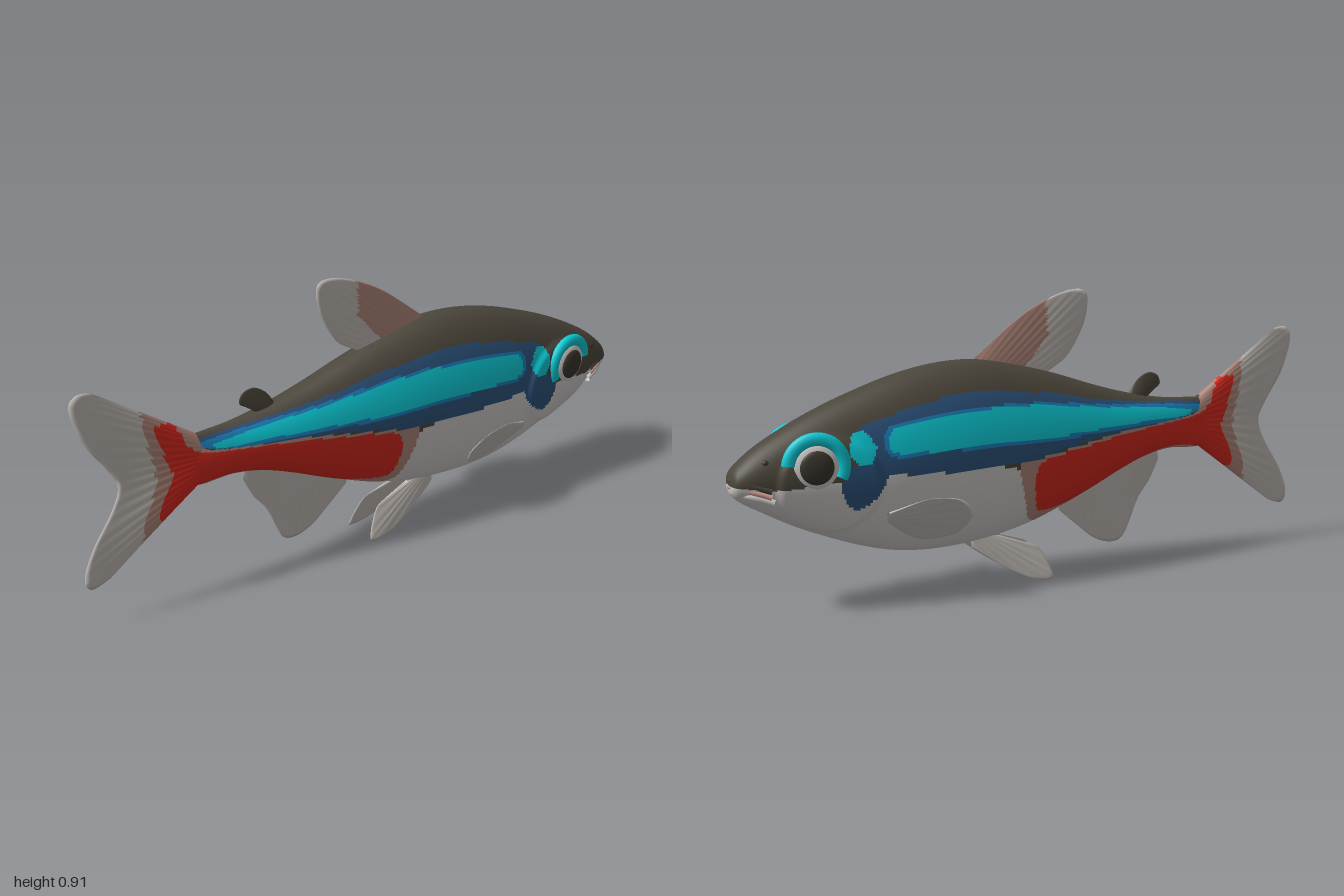
import * as THREE from 'three';

const palette = {
  olive: 0x4c473c, navy: 0x2d537c, blue: 0x1c80bd, cyan: 0x0accd8, red: 0xd6281e,
  pink: 0xb0877b, belly: 0xd2cecb, fin: 0xc2bcb6, lip: 0xd8a098, pupil: 0x3a352d,
};
const names = Object.keys(palette);
const mats = names.map((name) => {
  const m = new THREE.MeshStandardMaterial({ color: palette[name], side: THREE.DoubleSide });
  m.name = name;
  return m;
});
const mat = (name) => mats[names.indexOf(name)];

// Closed smooth outline of a colour patch
const region = (pts) => {
  const v = pts.map(([x, y]) => new THREE.Vector2(x, y));
  return new THREE.SplineCurve([...v, v[0]]).getPoints(80);
};
const inside = (poly, x, y) => {
  let hit = false;
  for (let i = 0, j = poly.length - 1; i < poly.length; j = i++) {
    const a = poly[i], b = poly[j];
    if ((a.y > y) !== (b.y > y) && x < ((b.x - a.x) * (y - a.y)) / (b.y - a.y) + a.x) hit = !hit;
  }
  return hit;
};
const height = (table, x) => {
  let i = 1;
  while (i < table.length - 1 && table[i][0] < x) i++;
  const [x0, y0] = table[i - 1], [x1, y1] = table[i];
  return y0 + (y1 - y0) * THREE.MathUtils.clamp((x - x0) / (x1 - x0), 0, 1);
};

// Markings, side elevation
const redPatch = region([[-0.75, 0.595], [-0.69, 0.59], [-0.65, 0.51], [-0.58, 0.475], [-0.3, 0.45], [-0.1, 0.42],
  [0.03, 0.395], [0.055, 0.33], [0.035, 0.24], [-0.03, 0.23], [-0.2, 0.265], [-0.32, 0.32], [-0.46, 0.375],
  [-0.6, 0.37], [-0.69, 0.3], [-0.755, 0.295], [-0.74, 0.36], [-0.705, 0.43], [-0.73, 0.51]]);
const pinkPatch = region([[-0.79, 0.67], [-0.7, 0.62], [-0.62, 0.54], [-0.58, 0.482], [-0.3, 0.46], [-0.1, 0.43],
  [0.05, 0.405], [0.115, 0.39], [0.085, 0.27], [0.05, 0.2], [-0.04, 0.19], [-0.2, 0.235], [-0.3, 0.28],
  [-0.45, 0.34], [-0.6, 0.33], [-0.7, 0.27], [-0.8, 0.21], [-0.8, 0.29], [-0.755, 0.43], [-0.78, 0.56]]);
const cyanStripe = region([[-0.58, 0.497], [-0.4, 0.522], [-0.2, 0.541], [0, 0.567], [0.2, 0.575], [0.4, 0.56],
  [0.52, 0.54], [0.54, 0.5], [0.51, 0.465], [0.3, 0.467], [0, 0.467], [-0.2, 0.475], [-0.4, 0.48], [-0.54, 0.48]]);
const blueStripe = region([[-0.64, 0.505], [-0.58, 0.515], [-0.4, 0.532], [-0.2, 0.55], [0, 0.575], [0.2, 0.582],
  [0.4, 0.567], [0.53, 0.55], [0.555, 0.5], [0.52, 0.455], [0.3, 0.46], [0, 0.455], [-0.2, 0.465], [-0.5, 0.472]]);
const navyBand = region([[-0.64, 0.52], [-0.4, 0.54], [-0.2, 0.565], [0, 0.602], [0.22, 0.63], [0.4, 0.61],
  [0.55, 0.572], [0.64, 0.535], [0.62, 0.46], [0.56, 0.41], [0.3, 0.395], [0.1, 0.4], [0, 0.415], [-0.2, 0.45], [-0.5, 0.475]]);
const cheekCyan = region([[0.58, 0.49], [0.61, 0.535], [0.65, 0.53], [0.665, 0.48], [0.64, 0.445], [0.6, 0.45]]);
const cheekNavy = region([[0.545, 0.41], [0.58, 0.44], [0.65, 0.44], [0.69, 0.4], [0.68, 0.34], [0.64, 0.31], [0.58, 0.35]]);
const oliveEdge = [[-0.74, 0.45], [-0.4, 0.43], [-0.2, 0.42], [0, 0.395], [0.12, 0.38], [0.2, 0.4], [0.56, 0.41],
  [0.62, 0.44], [0.68, 0.4], [0.8, 0.39], [0.88, 0.385], [1, 0.4]];
const bodyPaint = (x, y) => {
  if (inside(cheekCyan, x, y)) return 'cyan';
  if (inside(cheekNavy, x, y)) return 'navy';
  if (inside(cyanStripe, x, y)) return 'cyan';
  if (inside(blueStripe, x, y)) return 'blue';
  if (inside(redPatch, x, y)) return 'red';
  if (inside(navyBand, x, y)) return 'navy';
  if (inside(pinkPatch, x, y)) return 'pink';
  return y > height(oliveEdge, x) ? 'olive' : 'belly';
};
const tailPaint = (x, y) => {
  if (inside(redPatch, x, y)) return 'red';
  return inside(pinkPatch, x, y) || x > -0.68 ? 'pink' : 'fin';
};
const dorsalPaint = (x, y) => (x > -0.04 && y + 1.14 * x > 0.726 ? 'pink' : 'fin');

// Smooth grid surface whose cells are grouped by colour
function gridMesh(name, nu, nv, point, paint, wrap = false) {
  const pos = [], cells = names.map(() => []), rows = wrap ? nv : nv + 1;
  for (let i = 0; i <= nu; i++) for (let j = 0; j < rows; j++) pos.push(...point(i / nu, j / nv));
  for (let i = 0; i < nu; i++) for (let j = 0; j < nv; j++) {
    const k = (j + 1) % rows;
    const a = i * rows + j, b = a + rows, c = (i + 1) * rows + k, d = i * rows + k;
    const mid = (o) => (pos[a * 3 + o] + pos[b * 3 + o] + pos[c * 3 + o] + pos[d * 3 + o]) / 4;
    cells[names.indexOf(paint(mid(0), mid(1)))].push(a, b, c, a, c, d);
  }
  const g = new THREE.BufferGeometry();
  g.setAttribute('position', new THREE.Float32BufferAttribute(pos, 3));
  g.setIndex(cells.flat());
  let start = 0;
  cells.forEach((list, m) => {
    if (list.length) g.addGroup(start, list.length, m);
    start += list.length;
  });
  g.computeVertexNormals();
  const mesh = new THREE.Mesh(g, mats);
  mesh.name = name;
  return mesh;
}

// Body stations: x, top, bottom, half width
const stations = [[-0.74, 0.49, 0.41, 0.003], [-0.66, 0.53, 0.375, 0.02], [-0.6, 0.535, 0.365, 0.03],
  [-0.5, 0.54, 0.37, 0.045], [-0.4, 0.555, 0.352, 0.062], [-0.3, 0.578, 0.315, 0.078], [-0.2, 0.607, 0.27, 0.092],
  [-0.1, 0.64, 0.228, 0.104], [0, 0.67, 0.19, 0.114], [0.1, 0.694, 0.163, 0.122], [0.2, 0.711, 0.145, 0.127],
  [0.3, 0.712, 0.137, 0.13], [0.4, 0.7, 0.137, 0.13], [0.5, 0.677, 0.149, 0.127], [0.6, 0.645, 0.176, 0.119],
  [0.7, 0.608, 0.213, 0.109], [0.8, 0.563, 0.256, 0.096], [0.9, 0.508, 0.31, 0.077], [0.96, 0.463, 0.345, 0.06],
  [0.985, 0.435, 0.37, 0.042], [0.992, 0.405, 0.395, 0.002]];
const loft = (f) => new THREE.CatmullRomCurve3(stations.map(f), false, 'catmullrom', 0.5);
const upper = loft(([x, t, , w]) => new THREE.Vector3(x, t, w));
const lower = loft(([x, , b]) => new THREE.Vector3(x, b, 0));
function bodyPoint(u, v) {
  const a = upper.getPoint(u), b = lower.getPoint(u), t = v * Math.PI * 2 - Math.PI / 2;
  const y = (a.y + b.y) / 2 + ((a.y - b.y) / 2) * Math.sin(t), c = Math.cos(t);
  // raised gill cover
  const r = Math.hypot((a.x - 0.72) / 0.16, (y - 0.385) / 0.155);
  const gill = 0.009 * (1 - THREE.MathUtils.smoothstep(r, 0.86, 1));
  return [a.x, y, Math.sign(c) * (Math.abs(c) ** 0.95 * Math.max(a.z, 0) + gill * Math.min(1, Math.abs(c) * 2))];
}

// Fin lofted from a root line to a rim, with fine rays
function fin(name, root, rim, thick, paint, lean = () => 0, rays = 14) {
  const curve = (pts) => new THREE.SplineCurve(pts.map(([x, y]) => new THREE.Vector2(x, y)));
  const r = curve(root), e = curve(rim);
  return gridMesh(name, 72, 44, (u, s) => {
    const v = 1 - Math.abs(2 * s - 1), p = r.getPoint(u).lerp(e.getPoint(u), v);
    const edge = Math.sqrt(Math.max(0, Math.sin(Math.PI * u))) * Math.sqrt(1 - v * v);
    const t = (thick * (1 - v) + 0.004) * edge * (1 + 0.15 * Math.cos(u * rays * Math.PI * 2) * v);
    return [p.x, p.y, lean(p.x, p.y) + (s < 0.5 ? t : -t)];
  }, paint);
}

function ball(name, color, r, pos, scale) {
  const m = new THREE.Mesh(new THREE.SphereGeometry(r, 32, 20), mat(color));
  m.name = name;
  m.position.set(...pos);
  m.scale.set(...scale);
  return m;
}

function tube(name, color, pts, radius) {
  const path = new THREE.CatmullRomCurve3(pts.map((p) => new THREE.Vector3(...p)));
  const m = new THREE.Mesh(new THREE.TubeGeometry(path, 40, radius, 10), mat(color));
  m.name = name;
  return m;
}

export function createModel() {
  const fish = new THREE.Group();
  fish.name = 'fish';
  const pale = () => 'fin';
  fish.add(gridMesh('body', 280, 150, bodyPoint, bodyPaint, true));

  // Fins on the centre line
  fish.add(
    fin('tailFin', [[-0.62, 0.54], [-0.6, 0.455], [-0.62, 0.368]],
      [[-0.93, 0.748], [-0.975, 0.75], [-0.998, 0.71], [-0.965, 0.6], [-0.9, 0.5], [-0.872, 0.435], [-0.9, 0.36],
        [-0.965, 0.26], [-0.998, 0.175], [-0.98, 0.132], [-0.92, 0.148]], 0.024, tailPaint, undefined, 18),
    fin('dorsalFin', [[0.22, 0.69], [0.1, 0.67], [-0.03, 0.64]],
      [[0.21, 0.715], [0.06, 0.83], [-0.05, 0.888], [-0.14, 0.912], [-0.185, 0.895], [-0.18, 0.82], [-0.145, 0.745],
        [-0.1, 0.69], [-0.03, 0.655]], 0.009, dorsalPaint),
    fin('adiposeFin', [[-0.34, 0.555], [-0.37, 0.55], [-0.41, 0.54]],
      [[-0.345, 0.565], [-0.375, 0.605], [-0.415, 0.628], [-0.452, 0.62], [-0.465, 0.59], [-0.44, 0.57], [-0.41, 0.55]],
      0.01, () => 'olive', undefined, 0),
    fin('analFin', [[-0.46, 0.37], [-0.28, 0.32], [-0.08, 0.23]],
      [[-0.463, 0.335], [-0.43, 0.27], [-0.385, 0.21], [-0.335, 0.1], [-0.29, 0.075], [-0.22, 0.095], [-0.15, 0.15],
        [-0.085, 0.205]], 0.009, pale));

  for (const s of [1, -1]) {
    const side = s > 0 ? 'left' : 'right';
    // Paired fins
    fish.add(
      fin(side + 'PelvicFin', [[0.24, 0.15], [0.19, 0.16], [0.14, 0.155]],
        [[0.24, 0.13], [0.14, 0.06], [0.05, 0.012], [-0.025, 0.001], [-0.028, 0.03], [0, 0.09], [0.03, 0.115], [0.13, 0.145]],
        0.006, pale, (x, y) => s * (0.028 + (0.14 - y) * 0.26), 8),
      fin(side + 'PectoralFin', [[0.55, 0.295], [0.555, 0.27], [0.535, 0.25]],
        [[0.52, 0.305], [0.44, 0.332], [0.35, 0.325], [0.302, 0.285], [0.296, 0.25], [0.33, 0.205], [0.4, 0.19],
          [0.46, 0.2], [0.525, 0.245]],
        0.006, pale, (x, y) => s * (0.112 + (0.53 - x) * 0.2 + (y - 0.27) * 0.6), 9));

    // Eye with bright upper lid
    const eye = new THREE.Group();
    eye.name = side + 'Eye';
    eye.position.set(0.762, 0.447, s * 0.1);
    eye.rotation.y = s * 0.16;
    const lid = new THREE.Mesh(new THREE.TorusGeometry(0.08, 0.021, 12, 48, 3.5), mat('cyan'));
    lid.name = 'upperLid';
    lid.rotation.z = 0.1;
    lid.scale.z = 0.75;
    eye.add(lid,
      ball('iris', 'belly', 0.07, [0, 0, 0], [1, 1, 0.3]),
      ball('pupil', 'pupil', 0.05, [0, 0, s * 0.013], [1, 1, 0.28]));
    fish.add(eye);
    fish.add(ball(side + 'Nostril', 'pupil', 0.013, [0.897, 0.463, s * 0.058], [1, 0.8, 0.8]));
  }

  // Mouth
  const lipPath = (dx, y) => [-1, -0.8, 0, 0.8, 1].map((k) => {
    const a = Math.abs(k);
    return [0.984 + dx - (a === 1 ? 0.098 : a * 0.04), y - (a === 1 ? 0.03 : a * 0.008), k * (a === 1 ? 0.074 : 0.062)];
  });
  fish.add(tube('upperLip', 'olive', lipPath(0, 0.413), 0.01),
    tube('mouthLine', 'lip', lipPath(0.001, 0.395), 0.009),
    tube('lowerLip', 'belly', lipPath(-0.006, 0.378), 0.011));
  return fish;
}
